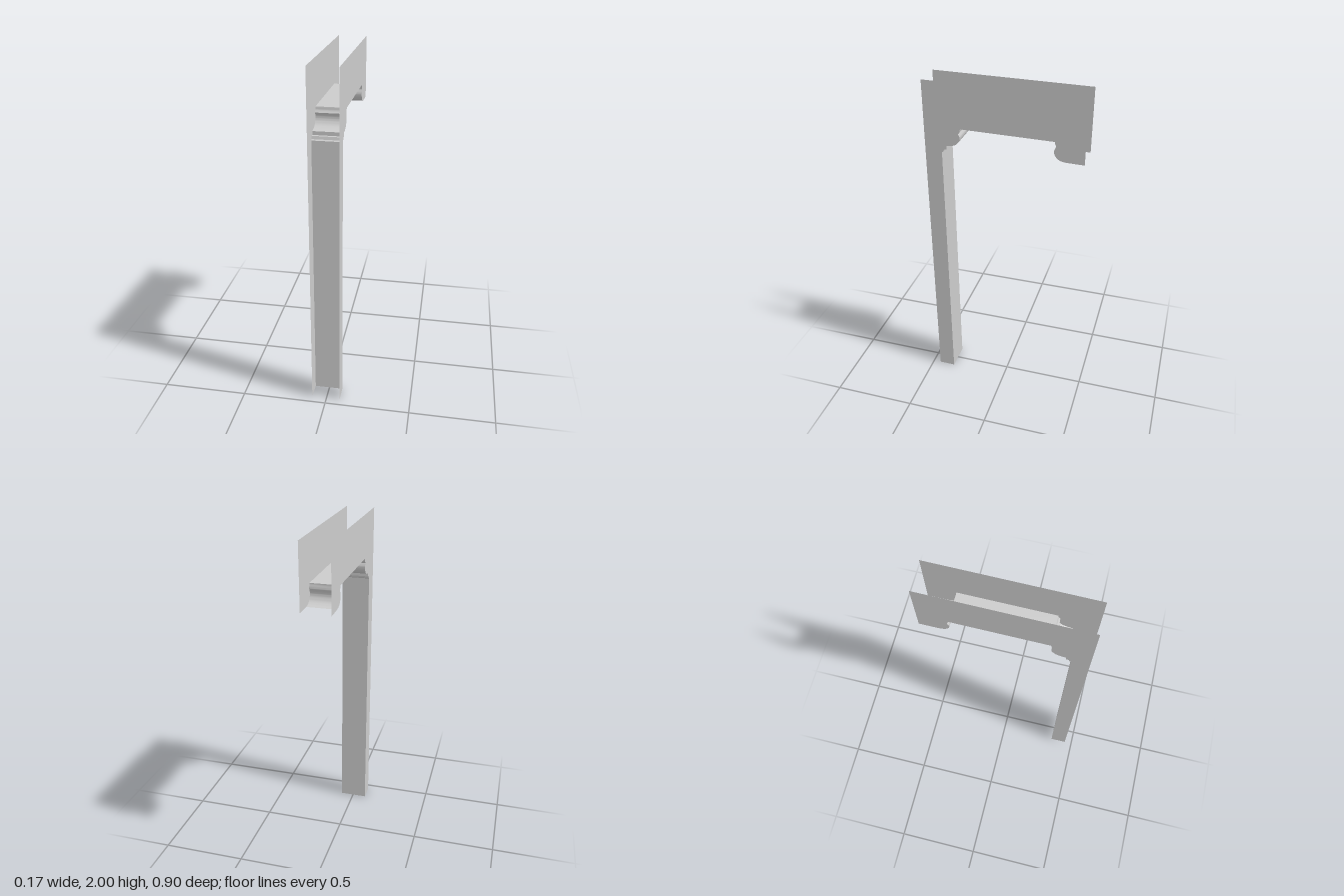
import * as THREE from 'three';
import { toCreasedNormals } from 'three/addons/utils/BufferGeometryUtils.js';

const HALF = 0.0835;    // half the width between the side plates
const SKEW = -0.0085;   // slight sideways drift along the depth

const v = (z, y) => new THREE.Vector2(z, y);
const smooth = (pts, n) => new THREE.SplineCurve(pts.map(p => v(...p))).getPoints(n);

// Inner edge in (z, y), from the foot of the post up and along to the far end
function innerProfile() {
  return [
    v(0.354, 0), v(0.354, 1.592), v(0.346, 1.597), v(0.341, 1.613),
    v(0.325, 1.613), v(0.325, 1.634),
    // rounded front bracket
    ...smooth([[0.319, 1.635], [0.292, 1.639], [0.267, 1.65], [0.249, 1.673], [0.246, 1.695], [0.254, 1.713]], 20),
    ...smooth([[0.253, 1.716], [0.245, 1.724], [0.243, 1.736]], 5),
    v(0.241, 1.743),
    // underside and rounded rear bracket
    v(-0.288, 1.738), v(-0.288, 1.727),
    ...smooth([[-0.293, 1.718], [-0.294, 1.708], [-0.286, 1.692], [-0.285, 1.672], [-0.298, 1.648], [-0.32, 1.633], [-0.35, 1.627]], 22),
  ];
}

// Places (z, y) geometry in the model with a chosen x for each vertex
function place(geometry, xOf) {
  const p = geometry.attributes.position;
  for (let i = 0; i < p.count; i++) {
    const z = p.getX(i), y = p.getY(i);
    p.setXYZ(i, xOf(i) + SKEW * z, y, z);
  }
  geometry.computeVertexNormals();
  return geometry;
}

export function createModel() {
  const group = new THREE.Group();
  group.name = 'postAndBeamCasing';
  const material = new THREE.MeshStandardMaterial({ color: 0xcccccc, side: THREE.DoubleSide });
  const add = (name, geometry) => {
    const mesh = new THREE.Mesh(geometry, material);
    mesh.name = name;
    group.add(mesh);
  };
  const profile = innerProfile();

  // Flat side plates
  const outline = new THREE.Shape([
    ...profile, v(-0.4525, 1.625), v(-0.4525, 1.996), v(0.4525, 2), v(0.4525, 0),
  ]);
  for (const [name, side] of [['leftPlate', 1], ['rightPlate', -1]]) {
    add(name, place(new THREE.ShapeGeometry(outline), () => side * HALF));
  }

  // Moulded strip joining the plates along the inner edge
  const strip = new THREE.PlaneGeometry(1, 1, profile.length - 1, 1);
  const n = profile.length, p = strip.attributes.position;
  for (let i = 0; i < p.count; i++) p.setXY(i, profile[i % n].x, profile[i % n].y);
  place(strip, i => (i < n ? -HALF : HALF));
  add('mouldedStrip', toCreasedNormals(strip, 0.6));

  return group;
}
